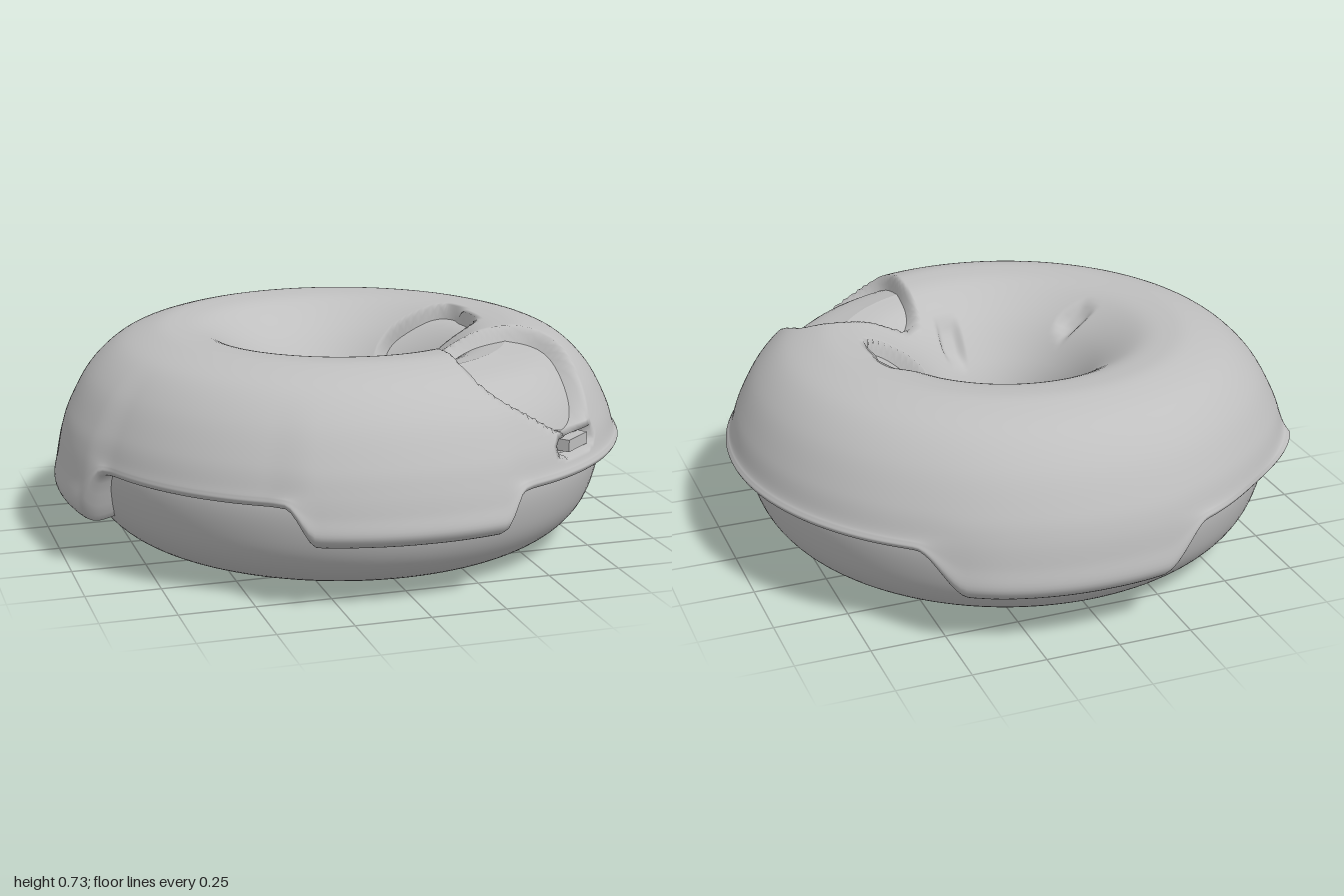
import * as THREE from 'three';

const V2 = (r, y) => new THREE.Vector2(r, y);
const step = THREE.MathUtils.smoothstep;
const CX = 0.01, CZ = -0.015; // ring axis

// Outer radius of the dough at a height below the rim
const doughRadius = (y) => 0.65 + 0.265 * Math.sqrt(Math.max(0, 1 - ((0.33 - y) / 0.33) ** 2));

// Icing drips: sunk range and bulged range as [start, start softness, end, end softness] in degrees
const DRIPS = [
  { sink: [70, 5, 117, 6], swell: [66, 9, 121, 9], depth: 0.125, bulge: 0.035 },     // front
  { sink: [160, 7, 207, 14], swell: [157, 9, 232, 30], depth: 0.19, bulge: 0.045 },  // right side
  { sink: [249, 10, 308, 10], swell: [232, 25, 312, 22], depth: 0.165, bulge: 0.02 }, // back
];

// Places where the icing dips, or sinks below the dough: centre, half sizes, depth
const GAPS = [
  { c: [0.45, 0.68, 0.5], h: [0.23, 0.24, 0.27], depth: 0.08 },
  { c: [0.35, 0.5, -0.08], h: [0.15, 0.4, 0.16], depth: 0.08 },
  { c: [0.6, 0.44, 0.72], h: [0.1, 0.03, 0.1], depth: 0.08 },
  { c: [-0.32, 0.55, 0.15], h: [0.07, 0.2, 0.05], depth: 0.025 },
  { c: [0.11, 0.5, 0.27], h: [0.05, 0.2, 0.07], depth: 0.025 },
];

const plateau = (deg, [from, softIn, to, softOut]) =>
  step(deg, from, from + softIn) * (1 - step(deg, to - softOut, to));

function dripAt(deg) {
  let depth = 0;
  let bulge = 0.022 * Math.max(0, Math.cos(THREE.MathUtils.degToRad(deg))); // fuller left side
  for (const d of DRIPS) {
    depth += plateau(deg, d.sink) * d.depth;
    bulge += plateau(deg, d.swell) * d.bulge;
  }
  return { depth, bulge };
}

// Cross-section of the icing, from the tucked-in outer lip over the top to the hole
function icingSection(deg) {
  const { depth, bulge } = dripAt(deg);
  const end = 0.34 - depth;
  const lip = Math.min(0.957, doughRadius(end) + 0.055 + 0.3 * depth) + bulge;
  const mid = 0.952 + bulge * 0.4;
  return new THREE.SplineCurve([
    V2(doughRadius(end) - 0.03, end + 0.012),
    V2(lip - 0.02 - 0.2 * depth, end),
    V2(lip, end + 0.015 + 0.2 * depth),
    V2((lip + mid) / 2 + 0.003, end + 0.03 + depth * 0.6),
    V2(mid, 0.39),
    V2(0.927 + bulge * 0.3, 0.47),
    V2(0.865 + bulge * 0.2, 0.585),
    V2(0.775, 0.675),
    V2(0.66, 0.72), V2(0.57, 0.727), V2(0.46, 0.705),
    V2(0.335, 0.62), V2(0.24, 0.5), V2(0.193, 0.4),
    V2(0.187, 0.34), V2(0.21, 0.31), V2(0.27, 0.31),
  ]).getPoints(96);
}

function sinkAt(x, y, z) {
  let sink = 0;
  for (const { c, h, depth } of GAPS) {
    const d = [x, y, z].reduce((s, v, k) => s + ((v - c[k]) / h[k]) ** 4, 0) ** 0.25;
    const soft = depth < 0.05 ? 0.6 : 0.14; // dents are softer than gaps
    sink = Math.max(sink, depth * (1 - step(d, 1.05 - soft, 1.05)));
  }
  return sink;
}

function icingGeometry() {
  const N = 320, M = 97, pos = [], idx = [];
  for (let i = 0; i < N; i++) {
    const a = (i / N) * Math.PI * 2;
    for (const p of icingSection((i / N) * 360)) {
      const sink = sinkAt(CX + p.x * Math.cos(a), p.y, CZ + p.x * Math.sin(a));
      const dr = p.x - 0.57, dy = p.y - 0.36;
      const k = 1 - sink / Math.hypot(dr, dy); // move towards the ring core
      const r = 0.57 + dr * k;
      pos.push(r * Math.cos(a), 0.36 + dy * k, r * Math.sin(a));
    }
  }
  for (let i = 0; i < N; i++) {
    for (let j = 0; j < M - 1; j++) {
      const a = i * M + j, b = ((i + 1) % N) * M + j;
      idx.push(a, a + 1, b, b, a + 1, b + 1);
    }
  }
  const g = new THREE.BufferGeometry();
  g.setAttribute('position', new THREE.Float32BufferAttribute(pos, 3));
  g.setIndex(idx);
  g.computeVertexNormals();
  return g;
}

export function createModel() {
  const group = new THREE.Group();
  group.name = 'ringDoughnut';
  const grey = new THREE.MeshStandardMaterial({ color: 0xbfbfbf });
  grey.name = 'plainGrey';
  const add = (name, geometry) => {
    const mesh = new THREE.Mesh(geometry, grey);
    mesh.name = name;
    group.add(mesh);
    return mesh;
  };

  // Dough ring: closed smooth section, from the top down the hole, under the base and up the outside
  const section = new THREE.SplineCurve([
    V2(0.58, 0.678), V2(0.47, 0.655), V2(0.37, 0.58), V2(0.29, 0.47), V2(0.25, 0.36),
    V2(0.265, 0.23), V2(0.34, 0.1), V2(0.46, 0.02), V2(0.56, 0), V2(0.65, 0.004),
    V2(0.76, 0.045), V2(0.84, 0.11), V2(0.89, 0.2), V2(0.915, 0.33),
    V2(0.885, 0.45), V2(0.825, 0.56), V2(0.73, 0.64), V2(0.58, 0.678),
  ]);
  add('dough', new THREE.LatheGeometry(section.getPoints(90), 128));

  add('icing', icingGeometry());

  // Small block of icing left at the foot of the front gap
  const crumb = add('icingCrumb', new THREE.BoxGeometry(0.13, 0.04, 0.06));
  crumb.position.set(0.58, 0.435, 0.695);
  crumb.rotation.y = Math.atan2(0.58, 0.695);

  group.children.forEach((m) => { m.position.x += CX; m.position.z += CZ; });
  return group;
}
